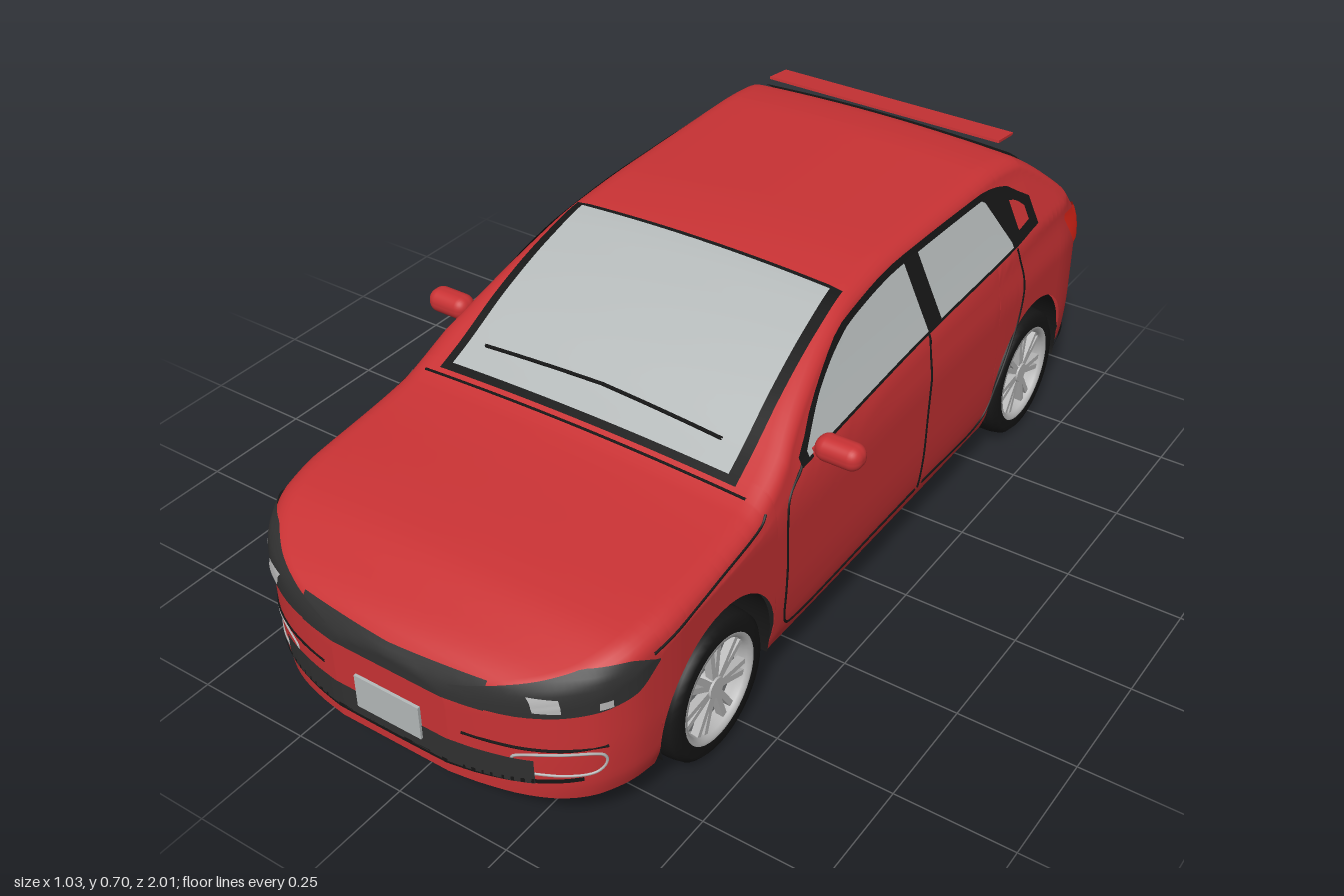
import * as THREE from 'three';
import { RoundedBoxGeometry } from 'three/addons/geometries/RoundedBoxGeometry.js';

const mat = (name, color) => new THREE.MeshStandardMaterial({ name, color, side: THREE.DoubleSide });
const lerp = THREE.MathUtils.lerp;

// Smooth interpolation through [position, value] points, without overshoot
function curve(pts) {
  const n = pts.length;
  const d = pts.slice(1).map((p, i) => (p[1] - pts[i][1]) / (p[0] - pts[i][0]));
  const m = pts.map((_, i) => i === 0 ? d[0] : i === n - 1 ? d[n - 2]
    : d[i - 1] * d[i] <= 0 ? 0 : 2 * d[i - 1] * d[i] / (d[i - 1] + d[i]));
  return (x) => {
    x = Math.min(Math.max(x, pts[0][0]), pts[n - 1][0]);
    let i = 0;
    while (i < n - 2 && x > pts[i + 1][0]) i++;
    const h = pts[i + 1][0] - pts[i][0], t = (x - pts[i][0]) / h, t2 = t * t, t3 = t2 * t;
    return (2 * t3 - 3 * t2 + 1) * pts[i][1] + (t3 - 2 * t2 + t) * h * m[i]
      + (3 * t2 - 2 * t3) * pts[i + 1][1] + (t3 - t2) * h * m[i + 1];
  };
}

// Grid surface from a rule (i, j) -> [x, y, z]
function surface(nu, nv, fn) {
  const pos = [], idx = [];
  for (let i = 0; i <= nu; i++) for (let j = 0; j <= nv; j++) pos.push(...fn(i, j));
  for (let i = 0; i < nu; i++) for (let j = 0; j < nv; j++) {
    const a = i * (nv + 1) + j, b = a + nv + 1;
    idx.push(a, a + 1, b, b, a + 1, b + 1);
  }
  const g = new THREE.BufferGeometry();
  g.setAttribute('position', new THREE.Float32BufferAttribute(pos, 3));
  g.setIndex(idx);
  g.computeVertexNormals();
  return g;
}

// Body curves along z: roofline, half width, window sill, lower edge; side tuck along y
const top = curve([[-.995, .38], [-.98, .42], [-.95, .46], [-.9, .515], [-.82, .59], [-.74, .655], [-.68, .688], [-.55, .7], [-.18, .7],
  [0, .687], [.12, .65], [.25, .59], [.385, .51], [.465, .475], [.8, .43], [.89, .4], [.96, .37], [.995, .335]]);
const width = curve([[-.995, .28], [-.98, .345], [-.95, .39], [-.9, .415], [-.8, .428], [-.5, .43], [.7, .43], [.8, .42],
  [.87, .392], [.92, .345], [.96, .275], [.985, .19], [.995, .13]]);
const belt = curve([[-.7, .52], [.3, .48]]);
const base = curve([[-.995, .14], [-.85, .11], [0, .1], [.9, .105], [.995, .12]]);
const tuck = curve([[.1, .95], [.15, .985], [.25, 1], [.4, 1], [.5, .97], [.7, .96]]);
const WHEELS = [.583, -.674], ARCH = .18, ARCH_Y = .163;
const CROWN = .01, RY = .035;

const inArch = (z) => WHEELS.find((c) => Math.abs(z - c) < ARCH);
function low(z) {
  const c = inArch(z);
  return c === undefined ? base(z) : ARCH_Y + Math.sqrt(ARCH ** 2 - (z - c) ** 2);
}
const flank = (z, y) => width(z) * tuck(y) - .46 * Math.max(0, y - Math.min(belt(z), top(z) - .05));
function corner(z) {
  const yc = top(z) - CROWN - RY, r = Math.min(.05, width(z) * .3);
  return { yc, r, xf: flank(z, yc) - r };
}
// Half width of the body at a height, and height of the body at a distance from the middle
function sideX(z, y) {
  const { yc, r, xf } = corner(z);
  if (y <= yc) return flank(z, y);
  return xf + r * Math.sqrt(Math.max(0, 1 - ((y - yc) / RY) ** 2));
}
function topY(x, z) {
  const { yc, r, xf } = corner(z), a = Math.abs(x);
  if (a <= xf) return top(z) - CROWN * (a / xf) ** 2;
  return yc + RY * Math.sqrt(Math.max(0, 1 - ((a - xf) / r) ** 2));
}
// z of the nose (end = 1) or tail (end = -1)
function endZ(x, y, end) {
  let a = .5, b = .995;
  const inside = (q) => Math.abs(x) <= sideX(q * end, y) && y <= topY(x, q * end);
  if (inside(b)) return b * end;
  for (let i = 0; i < 24; i++) { const m = (a + b) / 2; if (inside(m)) a = m; else b = m; }
  return a * end;
}
// Point on the flank, lifted along the normal
function sidePoint(s, z, y, off) {
  y = Math.min(y, top(z) - CROWN - .002);
  const e = .004, n = new THREE.Vector3(1, -(sideX(z, y + e) - sideX(z, y - e)) / (2 * e),
    -(sideX(z + e, y) - sideX(z - e, y)) / (2 * e)).normalize();
  return [s * (sideX(z, y) + off * n.x), y + off * n.y, z + off * n.z];
}

export function createModel() {
  const car = new THREE.Group();
  car.name = 'car';
  const red = mat('body red', 0xc83234), black = mat('trim black', 0x161616), dark = mat('dark grey', 0x303030);
  const glass = mat('window grey', 0xb4b9b9), silver = mat('rim silver', 0xb8b8b8), steel = mat('steel grey', 0x7c7e80);
  const lamp = mat('tail lamp red', 0xf0281a);
  const add = (name, geo, m, parent = car) => {
    const mesh = new THREE.Mesh(geo, m);
    mesh.name = name;
    parent.add(mesh);
    return mesh;
  };
  const sidePatch = (name, m, z0, z1, lo, hi, off) => [1, -1].forEach((s) => add(name, surface(28, 8, (i, j) => {
    const z = lerp(z0, z1, i / 28);
    return sidePoint(s, z, lerp(lo(z), hi(z), j / 8), off);
  }), m));
  const topPatch = (name, m, z0, z1, x0, x1, off) => add(name, surface(24, 20, (i, j) => {
    const z = lerp(z0, z1, i / 24), x = lerp(x0(z), x1(z), j / 20);
    return [x, topY(x, z) + off, z];
  }), m);
  const endPatch = (name, m, end, half, lo, hi, off = .004) => add(name, surface(40, 6, (i, j) => {
    const x = lerp(-half, half, i / 40), y = lerp(lo(x), hi(x), j / 6);
    return [x, y, endZ(x, y, end) + end * off];
  }), m);
  const line = (name, m, pts, r = .003) => add(name, new THREE.TubeGeometry(
    new THREE.CatmullRomCurve3(pts.map((p) => new THREE.Vector3(...p)), false, 'centripetal'), pts.length * 6, r, 5), m);
  const sideLine = (name, m, pts, r) => [1, -1].forEach((s) => {
    const path = new THREE.CatmullRomCurve3(pts.map(([z, y]) => new THREE.Vector3(0, y, z)), false, 'centripetal');
    line(name, m, path.getPoints(24).map((p) => sidePoint(s, p.z, p.y, 0)), r);
  });

  // Body shell, lofted from nose to tail with open wheel arches
  const zs = [];
  for (let i = 0; i <= 90; i++) zs.push(.995 * Math.sin((i / 90 - .5) * Math.PI));
  for (const c of WHEELS) {
    for (let i = 0; i <= 24; i++) zs.push(c - (ARCH - .0002) * Math.cos(i / 24 * Math.PI));
    zs.push(c - ARCH - .0002, c + ARCH + .0002);
  }
  zs.sort((a, b) => a - b);
  const N = zs.length;
  const section = (z, k) => {
    const { yc, r, xf } = corner(z);
    if (k <= 18) { const y = lerp(low(z), yc, k / 18); return [flank(z, y), y]; }
    if (k <= 24) { const a = (k - 18) / 6 * Math.PI / 2; return [xf + r * Math.cos(a), yc + RY * Math.sin(a)]; }
    const x = xf * (1 - (k - 24) / 6);
    return [x, topY(x, z)];
  };
  add('bodyShell', surface(N + 1, 60, (i, j) => {
    const z = zs[Math.min(Math.max(i - 1, 0), N - 1)];
    const [x, y] = section(z, 30 - Math.abs(j - 30));
    return [i === 0 || i === N + 1 ? 0 : x * Math.sign(30 - j), y, z];
  }), red);

  // Underside
  const floorStrip = (name, m, list) => add(name, surface(list.length - 1, 1, (i, j) => {
    const z = list[i], half = inArch(z) === undefined ? flank(z, base(z)) : .25;
    return [(j * 2 - 1) * half, base(z) + .002, z];
  }), m);
  floorStrip('floor', black, zs.filter((z) => z < .8));
  floorStrip('noseUnderside', red, zs.filter((z) => z > .77));

  // Windscreen, rear window and spoiler
  const screen = (z) => lerp(.318, .35, z / .42);
  topPatch('windscreenFrame', black, .005, .425, (z) => -screen(z), screen, .004);
  topPatch('windscreen', glass, .018, .412, (z) => .022 - screen(z), (z) => screen(z) - .022, .008);
  for (const s of [1, -1]) line('wiper', black, [0, .1, .2, .28].map((x) => {
    const z = .355 + x * .03;
    return [s * x, topY(x, z) + .012, z];
  }), .004);
  topPatch('rearWindow', dark, -.715, -.885, () => -.315, () => .315, .006);
  line('rearWiper', black, [[.0, -.885], [-.08, -.865], [-.23, -.862]].map(([x, z]) => [x, topY(x, z) + .012, z]), .005);
  const spoiler = add('spoiler', new THREE.BoxGeometry(.59, .006, .07), red);
  spoiler.position.set(0, .69, -.735);
  spoiler.rotation.x = -.12;

  // Side windows: black frame with two panes and a quarter piece
  const sill = curve([[-.68, .54], [-.57, .53], [-.19, .517], [.3, .488]]);
  const head = curve([[-.68, .585], [-.62, .632], [-.51, .656], [-.18, .66], [.04, .638], [.17, .585], [.3, .492]]);
  const frameHead = (z) => head(z) + .008, paneHead = (z) => Math.max(head(z) - .006, sill(z));
  sidePatch('windowFrame', black, .305, -.69, (z) => sill(z) - .007, frameHead, .003);
  sidePatch('frontWindow', glass, .28, -.185, sill, paneHead, .006);
  sidePatch('rearSideWindow', glass, -.24, -.565, sill, (z) => Math.min(paneHead(z), lerp(.53, .65, (z + .57) / .055)), .006);
  sidePatch('quarterPiece', red, -.605, -.655, (z) => sill(z) + .018, (z) => head(z) - .022, .006);

  // Door, bonnet and hatch seams
  sideLine('frontDoorSeam', black, [[.3, .485], [.36, .44], [.365, .3], [.362, .16], [.34, .14], [0, .138], [-.16, .14]]);
  sideLine('centreDoorSeam', black, [[-.19, .51], [-.18, .35], [-.172, .14]]);
  sideLine('rearDoorSeam', black, [[-.19, .142], [-.46, .145], [-.52, .22], [-.595, .34], [-.61, .44], [-.585, .52]]);
  sideLine('bonnetSeam', black, [[.78, .385], [.6, .415], [.45, .442], [.43, .455]]);
  line('bonnetRearSeam', black, [-.38, -.3, -.15, 0, .15, .3, .38].map((x) => [x, topY(x, .435), .435]), .003);
  line('hatchSeam', black, [-.3, -.15, 0, .15, .3].map((x) => [x, topY(x, -.945), -.945]), .003);
  for (const s of [1, -1]) {
    line('bumperSeam', black, [.16, .22, .28, .34, .39].map((x) => [s * x, .23, endZ(x, .23, 1)]), .003);
    topPatch('rearReflector', dark, -.95, -.915, () => s * .295, () => s * .325, .006);
  }

  // Nose: headlamps, grilles, fog lamps
  const lampLow = curve([[.77, .368], [.83, .325], [.9, .313], [.99, .303]]);
  const lampHigh = curve([[.77, .372], [.83, .395], [.9, .388], [.99, .36]]);
  sidePatch('headlamp', dark, .77, .988, lampLow, lampHigh, .004);
  sidePatch('headlampLens', silver, .928, .952, () => .322, () => .35, .007);
  sidePatch('headlampSideLens', silver, .865, .885, () => .322, () => .338, .007);
  endPatch('upperGrille', dark, 1, .21, () => .302, (x) => .352 + Math.abs(x) * .03);
  endPatch('lowerGrille', dark, 1, .29, () => .15, () => .206);
  endPatch('lowerLip', black, 1, .36, (x) => .143 + x * x * .1, (x) => .153 + x * x * .1);
  sideLine('fogLampRim', silver, [[.965, .172], [.965, .212], [.885, .215], [.875, .195], [.89, .172], [.965, .172]], .003);
  add('frontPlate', new THREE.BoxGeometry(.15, .074, .006), glass).position.set(0, .213, 1.001);

  // Tail: lamps, plate and bumper
  const lampTop = curve([[-.95, .45], [-.9, .485], [-.82, .5]]);
  sidePatch('tailLamp', lamp, -.82, -.945, (z) => lerp(.485, .4, Math.min(1, (-.82 - z) / .06)), lampTop, .004);
  add('rearPlate', new THREE.BoxGeometry(.14, .075, .006), glass).position.set(0, .335, -.998);
  endPatch('rearBumper', black, -1, .375, () => .142, (x) => .18 - x * x * .1);
  sidePatch('rearBumperSide', black, -.87, -.985, base, (z) => lerp(.125, .165, (-.87 - z) / .115), .004);

  // Mirrors
  for (const s of [1, -1]) {
    const mirror = add('mirror', new RoundedBoxGeometry(.1, .052, .055, 4, .024), red);
    mirror.position.set(s * .467, .505, .25);
    add('mirrorArm', new THREE.BoxGeometry(.05, .02, .03), red).position.set(s * .42, .492, .25);
  }

  // Wheels and wheel wells
  const tyreProfile = [[.108, -.05], [.135, -.052], [.147, -.042], [.151, -.02], [.151, .02], [.147, .042], [.135, .052], [.108, .05]];
  const rimProfile = [[.1, -.045], [.098, .03], [.1, .044], [.106, .051], [.113, .051]];
  const lathe = (p) => new THREE.LatheGeometry(p.map((q) => new THREE.Vector2(...q)), 40).rotateZ(-Math.PI / 2);
  for (const z of WHEELS) for (const s of [1, -1]) {
    const well = new THREE.Group();
    well.name = 'wheelWell';
    add('wellLiner', new THREE.CylinderGeometry(ARCH, ARCH, .17, 32, 1, true, -.3, Math.PI + .6).rotateZ(Math.PI / 2), black, well);
    add('wellWall', new THREE.CircleGeometry(ARCH, 32, -.3, Math.PI + .6).rotateY(Math.PI / 2), black, well).position.x = -s * .085;
    well.position.set(s * .333, ARCH_Y, z);
    car.add(well);

    const wheel = new THREE.Group();
    wheel.name = 'wheel';
    add('tyre', lathe(tyreProfile), black, wheel);
    add('rim', lathe(rimProfile), silver, wheel);
    add('rimBack', new THREE.CylinderGeometry(.1, .1, .01, 32).rotateZ(Math.PI / 2), steel, wheel).position.x = .012;
    add('hub', new THREE.CylinderGeometry(.022, .03, .03, 16).rotateZ(-Math.PI / 2), silver, wheel).position.x = .03;
    for (let i = 0; i < 14; i++) {
      const a = (Math.floor(i / 2) + (i % 2 ? .14 : -.14)) * Math.PI * 2 / 7;
      const spoke = add('spoke', new THREE.BoxGeometry(.016, .088, .012).translate(0, .06, 0), silver, wheel);
      spoke.position.x = .033;
      spoke.rotation.x = a;
    }
    wheel.position.set(s * .374, .151, z);
    if (s < 0) wheel.rotation.y = Math.PI;
    car.add(wheel);
  }
  return car;
}
